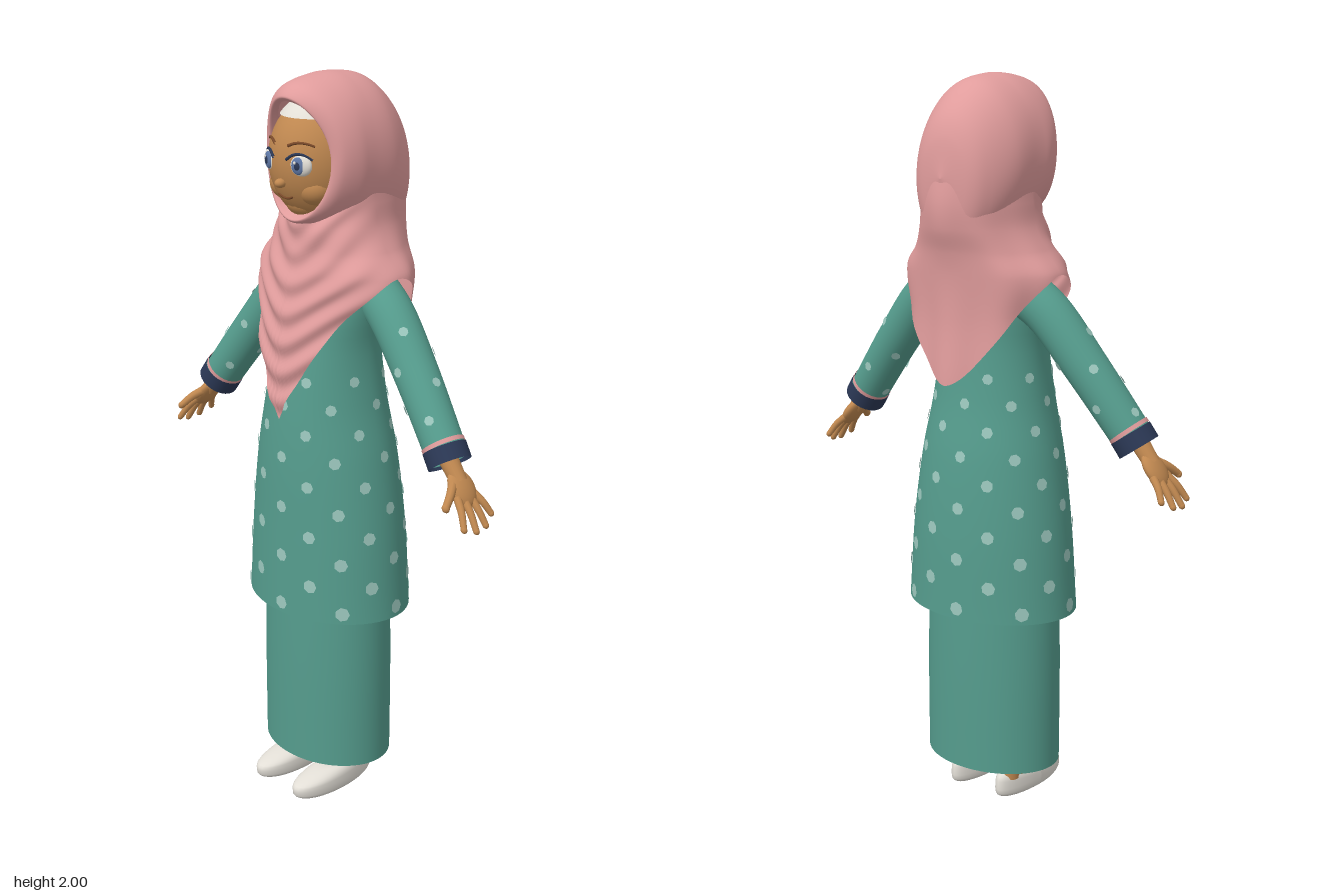
import * as THREE from 'three';
import { ParametricGeometry } from 'three/addons/geometries/ParametricGeometry.js';

const mat = (name, color) => {
  const m = new THREE.MeshStandardMaterial({ color, side: THREE.DoubleSide });
  m.name = name;
  return m;
};
const V = (x, y, z) => new THREE.Vector3(x, y, z);
const lerp = THREE.MathUtils.lerp;

// Smooth lookup through rows of [key, value, value, ...]
function track(rows) {
  const n = rows[0].length - 1;
  const it = new THREE.CubicInterpolant(rows.map(r => r[0]), rows.flatMap(r => r.slice(1)), n);
  return k => it.evaluate(k);
}

// Body surface from rows of [y, half width, front z, back z]; angle 0 faces front
function bodySurface(rows, zc) {
  const at = track(rows);
  return (a, y, target, k = 1) => {
    const [w, zf, zb] = at(y), c = Math.cos(a);
    return target.set(w * k * Math.sin(a), y, zc + c * k * (c > 0 ? zf - zc : zc - zb));
  };
}

// Tapered tube along a smooth curve
function limbGeometry(curve, r0, r1, steps = 16, sides = 16) {
  const g = new THREE.TubeGeometry(curve, steps, 1, sides), p = g.attributes.position;
  const v = V(0, 0, 0);
  for (let i = 0; i < p.count; i++) {
    const t = Math.floor(i / (sides + 1)) / steps, c = curve.getPointAt(t);
    v.fromBufferAttribute(p, i).sub(c).multiplyScalar(lerp(r0, r1, t)).add(c);
    p.setXYZ(i, v.x, v.y, v.z);
  }
  return g;
}

export function createModel() {
  const model = new THREE.Group();
  const teal = mat('teal cloth', 0x559c8d), pink = mat('pink scarf', 0xe09c9c);
  const skin = mat('skin', 0xc08850), white = mat('off white', 0xe2ded6);
  const navy = mat('navy trim', 0x2b3855), pale = mat('pale dots', 0x9cc8be);
  const blue = mat('iris blue', 0x5f78a6), brown = mat('brown', 0x7a4a2a);

  const add = (name, geo, material, parent = model) => {
    const m = new THREE.Mesh(geo, material);
    m.name = name;
    parent.add(m);
    return m;
  };
  const ball = (name, material, pos, scale, parent = model) => {
    const m = add(name, new THREE.SphereGeometry(1, 28, 20), material, parent);
    m.position.set(...pos);
    m.scale.set(...scale);
    return m;
  };
  const limb = (name, material, pts, r0, r1, parent = model, sides = 16) =>
    add(name, limbGeometry(new THREE.CatmullRomCurve3(pts), r0, r1, 16, sides), material, parent);
  const dotGeometry = new THREE.CircleGeometry(1, 7);
  const dot = (pos, normal, r) => {
    const m = add('clothDot', dotGeometry, pale);
    m.position.copy(pos).addScaledVector(normal, 0.003);
    m.quaternion.setFromUnitVectors(V(0, 0, 1), normal);
    m.scale.setScalar(r);
  };
  const TAU = Math.PI * 2;

  // Long skirt and tunic
  const skirt = bodySurface([[0.1, 0.2, 0.175, -0.13], [0.4, 0.2, 0.175, -0.13], [0.75, 0.19, 0.17, -0.125]], 0.022);
  add('skirt', new ParametricGeometry((u, v, t) => skirt(u * TAU, lerp(0.1, 0.75, v), t), 56, 6), teal);
  const tunic = bodySurface([
    [0.56, 0.25, 0.21, -0.175], [0.8, 0.23, 0.205, -0.168], [1.0, 0.2, 0.2, -0.15],
    [1.15, 0.168, 0.188, -0.125], [1.3, 0.15, 0.165, -0.11], [1.42, 0.158, 0.13, -0.105],
    [1.5, 0.15, 0.08, -0.09], [1.56, 0.06, 0.05, -0.05]], 0.015);
  add('tunic', new ParametricGeometry((u, v, t) => tunic(u * TAU, lerp(0.56, 1.56, v), t), 56, 40), teal);

  // Staggered dots on the tunic
  for (let row = 0; row < 10; row++) for (let col = 0; col < 8; col++) {
    const a = (col + (row % 2) * 0.5 + 0.1) * TAU / 8, y = 0.59 + row * 0.07;
    const p = tunic(a, y, V(0, 0, 0));
    const du = tunic(a + 0.01, y, V(0, 0, 0)).sub(p), dv = tunic(a, y + 0.005, V(0, 0, 0)).sub(p);
    dot(p, du.cross(dv).normalize(), 0.02 - row * 0.0006);
  }

  // Arms, cuffs, hands, legs and shoes
  for (const s of [1, -1]) {
    const side = s > 0 ? 'left' : 'right';
    const arm = new THREE.CatmullRomCurve3([V(s * 0.12, 1.455, -0.025), V(s * 0.2, 1.4, -0.015),
      V(s * 0.31, 1.27, 0), V(s * 0.455, 1.08, 0.025)]);
    add(side + 'Sleeve', limbGeometry(arm, 0.064, 0.054, 24, 24), teal);
    ball(side + 'Shoulder', teal, [s * 0.135, 1.44, -0.022], [0.064, 0.064, 0.064]);
    limb(side + 'Cuff', navy, [V(s * 0.436, 1.107, 0.022), V(s * 0.461, 1.071, 0.026)], 0.058, 0.058, model, 24);
    limb(side + 'CuffStripe', pink, [V(s * 0.429, 1.116, 0.021), V(s * 0.436, 1.107, 0.022)], 0.057, 0.057, model, 24);
    for (let i = 0; i < 10; i++) {
      const t = 0.34 + i * 0.058, b = i * 2.4 + 0.6, tan = arm.getTangentAt(t);
      const e = V(0, 0, 1).cross(tan).normalize(), f = tan.clone().cross(e);
      const n = e.multiplyScalar(Math.cos(b)).addScaledVector(f, Math.sin(b)).normalize();
      dot(arm.getPointAt(t).addScaledVector(n, lerp(0.064, 0.054, t)), n, 0.013);
    }

    const hand = new THREE.Group();
    hand.name = side + 'Hand';
    hand.position.set(s * 0.505, 1.025, 0.03);
    hand.rotation.z = s * 0.66;
    model.add(hand);
    limb('wrist', skin, [V(0, 0.085, 0), V(0, 0.01, 0)], 0.026, 0.022, hand);
    ball('palm', skin, [0, -0.005, 0], [0.019, 0.052, 0.04], hand);
    const finger = (name, a, b, r) => {
      limb(name, skin, [a, a.clone().lerp(b, 0.5).add(V(s * 0.004, 0, 0)), b], r, r * 0.75, hand, 10);
      ball(name + 'Tip', skin, b.toArray(), [r * 0.75, r * 0.9, r * 0.75], hand);
    };
    [[-0.028, -0.09], [-0.01, -0.114], [0.01, -0.12], [0.029, -0.106]].forEach(([z, y], i) =>
      finger('finger' + (i + 1), V(0, -0.025, z), V(0, y, z * 1.9), 0.011));
    finger('thumb', V(0, 0.012, 0.022), V(0, -0.04, 0.08), 0.013);

    limb(side + 'Leg', skin, [V(s * 0.08, 0.05, -0.015), V(s * 0.08, 0.5, 0)], 0.032, 0.045);
    ball(side + 'Foot', skin, [s * 0.08, 0.06, 0.03], [0.038, 0.04, 0.062]);
    // Shoe: rounded block, low at the toe and flat underneath
    const shoe = new THREE.SphereGeometry(1, 32, 20), p = shoe.attributes.position;
    for (let i = 0; i < p.count; i++) {
      const x = p.getX(i), y = p.getY(i), z = p.getZ(i);
      const top = lerp(0.095, 0.045, (z + 1) / 2), h = Math.sign(y) * Math.pow(Math.abs(y), 0.6);
      const dip = y > 0 ? 0.03 * Math.exp(-((z + 0.3) ** 2) * 8 - x * x * 5) : 0;
      p.setXYZ(i, x * (0.05 + 0.006 * z), Math.max(0, 0.025 + (h > 0 ? h * (top - 0.02) : h * 0.04) - dip), 0.078 + z * 0.143);
    }
    shoe.computeVertexNormals();
    add(side + 'Shoe', shoe, white).position.x = s * 0.078;
  }

  // Head and face
  const faceZ = (x, y) => 0.04 + 0.145 * Math.sqrt(Math.max(0, 1 - (x / 0.13) ** 2 - ((y - 1.785) / 0.165) ** 2));
  const onFace = (x, y, off) => V(x, y, faceZ(x, y) + off);
  ball('head', skin, [0, 1.785, 0.04], [0.13, 0.165, 0.145]);
  ball('chin', skin, [0, 1.682, 0.095], [0.06, 0.043, 0.052]);
  ball('nose', skin, [0, 1.737, 0.182], [0.014, 0.012, 0.016]);
  const cap = add('underCap', new THREE.SphereGeometry(1, 32, 10, 0, TAU, 0, 0.84), white);
  cap.position.set(0, 1.785, 0.04);
  cap.scale.set(0.134, 0.17, 0.152);
  limb('mouth', brown, [-0.028, -0.014, 0, 0.014, 0.028].map(x =>
    onFace(x, 1.696 + 10 * x * x, 0.001)), 0.003, 0.003, model, 8);
  for (const s of [1, -1]) {
    ball('cheek', skin, [s * 0.05, 1.722, 0.108], [0.052, 0.045, 0.05]);
    const eye = new THREE.Group();
    eye.name = s > 0 ? 'leftEye' : 'rightEye';
    eye.position.copy(onFace(s * 0.056, 1.787, -0.008));
    eye.rotation.y = s * 0.3;
    model.add(eye);
    ball('eyeWhite', white, [0, 0, 0], [0.032, 0.028, 0.014], eye);
    ball('iris', blue, [-s * 0.003, 0, 0.009], [0.019, 0.022, 0.007], eye);
    ball('pupil', navy, [-s * 0.003, 0, 0.0125], [0.01, 0.012, 0.005], eye);
    ball('glint', white, [-s * 0.003 - 0.006, 0.008, 0.016], [0.004, 0.004, 0.002], eye);
    const arc = (name, y, rise, r, m) => limb(name, m, [0.024, 0.04, 0.056, 0.072, 0.086].map(x =>
      onFace(s * x, y - rise * ((x - 0.056) / 0.032) ** 2, 0.002)), r, r * 0.7, model, 8);
    arc('eyelash', 1.816, 0.016, 0.004, navy);
    arc('eyebrow', 1.843, 0.009, 0.004, brown);
  }

  // Hood: oval loops from the face opening to the back, [step, z, half width, top y, bottom y]
  const hood = track([[0, 0.128, 0.108, 1.938, 1.648], [1, 0.147, 0.117, 1.952, 1.635],
    [2, 0.12, 0.145, 1.981, 1.62], [3, 0.06, 0.159, 1.997, 1.6], [4, 0, 0.16, 2.0, 1.58],
    [5, -0.08, 0.15, 1.985, 1.56], [6, -0.15, 0.122, 1.93, 1.56], [7, -0.19, 0.08, 1.86, 1.6],
    [8, -0.208, 0.002, 1.752, 1.748]]);
  add('scarfHood', new ParametricGeometry((u, v, t) => {
    const a = u * TAU, [z, w, top, bottom] = hood(v * 8);
    const s = Math.sin(a), c = Math.cos(a), rim = Math.max(0, 1 - v * 2.2);
    const k = 1 + 0.012 * Math.sin(v * 22 + 2 * c) * Math.sin(v * Math.PI) * s * s;
    t.set(w * s * k, (top + bottom) / 2 + c * (top - bottom) / 2,
      z + rim * (-0.042 * s * s + 0.025 * Math.max(c, 0) ** 2));
  }, 64, 48), pink);

  // Draped scarf: pointed hem in front and behind, short over the shoulders, with hanging folds
  const drape = bodySurface([[1.11, 0.22, 0.2, -0.195], [1.22, 0.22, 0.197, -0.19],
    [1.38, 0.222, 0.178, -0.177], [1.5, 0.235, 0.152, -0.18], [1.56, 0.19, 0.138, -0.19],
    [1.62, 0.158, 0.137, -0.208], [1.68, 0.148, 0.112, -0.213], [1.78, 0.14, 0.06, -0.2]], -0.01);
  add('scarfDrape', new ParametricGeometry((u, v, t) => {
    const a = u * TAU, s = Math.abs(Math.sin(a)), c = Math.cos(a);
    const hem = c > 0 ? 1.11 + 0.39 * s : 1.21 + 0.29 * Math.pow(s, 1.6);
    const y = lerp(hem, 1.66 + 0.06 * (1 - c), v), x = 0.22 * s;
    const front = 0.03 * Math.max(c, 0) * Math.sin(80 * (y - 0.9 * Math.sqrt(x * x + 0.002)));
    const back = 0.035 * Math.max(-c, 0) * Math.cos(9 * a + Math.PI) * (1 - v);
    drape(a, y, t, 1 + front + back);
  }, 96, 56), pink);

  return model;
}
